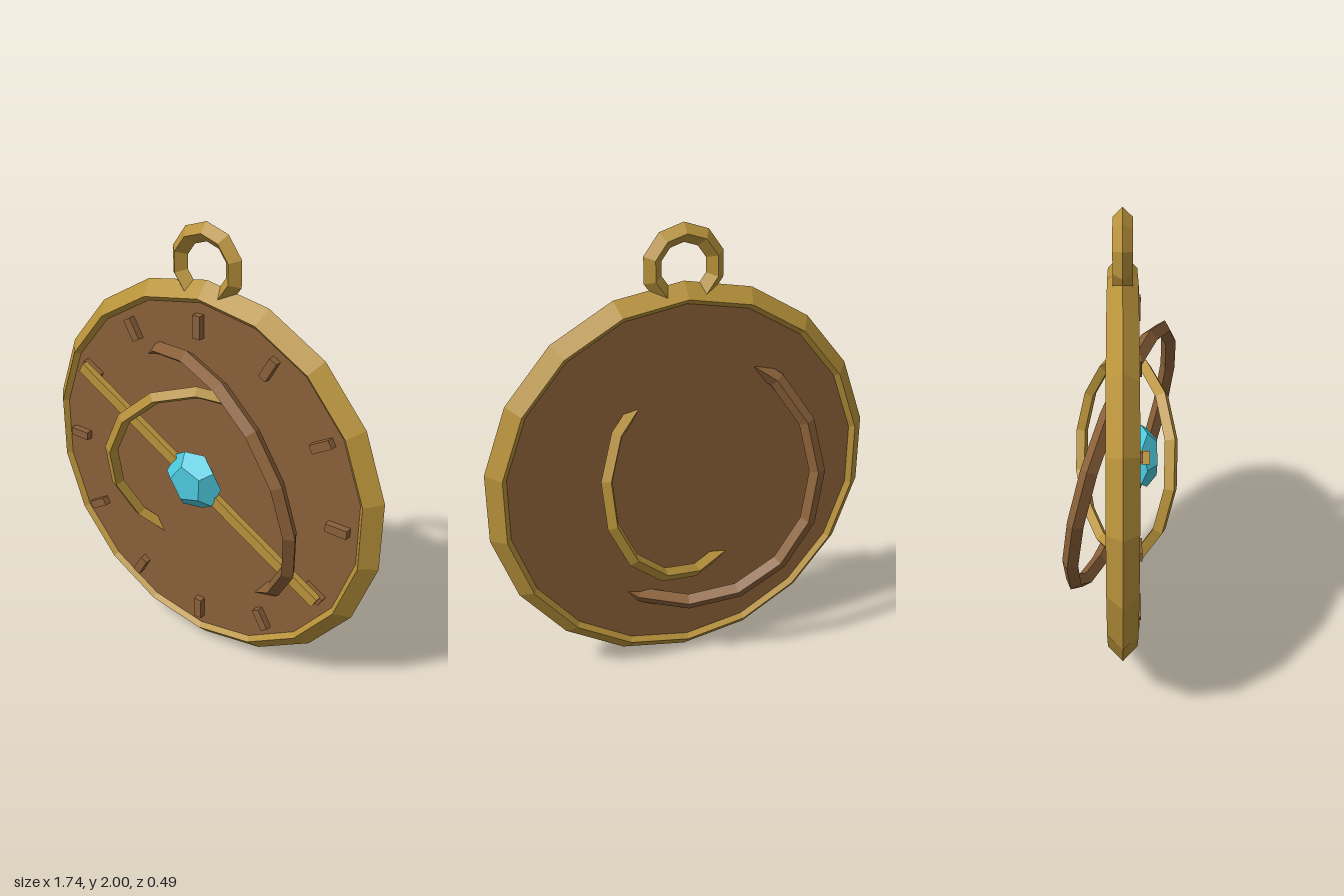
import * as THREE from 'three';

const CY = 0.882; // height of the dial centre

export function createModel() {
  const model = new THREE.Group();
  const material = (name, color) => {
    const m = new THREE.MeshStandardMaterial({ color, flatShading: true });
    m.name = name;
    return m;
  };
  const gold = material('antique gold', 0xb8923a);
  const bronze = material('brown bronze', 0x8a6038);
  const aqua = material('aqua crystal', 0x4cc9dd);

  const add = (name, geometry, mat, x = 0, y = CY, z = 0, parent = model) => {
    const mesh = new THREE.Mesh(geometry, mat);
    mesh.name = name;
    mesh.position.set(x, y, z);
    parent.add(mesh);
    return mesh;
  };
  // Diamond-section ring with a vertex at the top
  const ring = (radius, tube, sides) =>
    new THREE.TorusGeometry(radius, tube, 4, sides).rotateZ(Math.PI / 2);

  // Case: bevelled rim, flat dial and hanging loop
  add('rim', ring(0.818, 0.063, 18), gold);
  add('dial', new THREE.CylinderGeometry(0.812, 0.812, 0.084, 18).rotateX(Math.PI / 2), bronze);
  add('hangingLoop', ring(0.14, 0.04, 10), gold, 0, 1.82);

  // Twelve hour markers
  const markers = new THREE.Group();
  markers.name = 'hourMarkers';
  markers.position.y = CY;
  model.add(markers);
  for (let i = 0; i < 12; i++) {
    const a = (i / 12) * Math.PI * 2;
    const marker = add('hourMarker', new THREE.BoxGeometry(0.1, 0.038, 0.04), bronze,
      0.7 * Math.cos(a), 0.7 * Math.sin(a), 0.053, markers);
    marker.rotation.z = a;
  }

  // Pointer across the dial
  add('pointer', new THREE.BoxGeometry(1.47, 0.05, 0.03), gold, 0, CY, 0.085).rotation.z = -Math.PI / 6;

  // Tilted rings passing through the dial; each lies in the plane z = a*x + b*y
  const tiltedRing = (name, radius, tube, sides, mat, a, b) => {
    const mesh = add(name, ring(radius, tube, sides), mat);
    mesh.quaternion.setFromUnitVectors(
      new THREE.Vector3(0, 0, 1), new THREE.Vector3(-a, -b, 1).normalize());
  };
  tiltedRing('outerOrbitRing', 0.588, 0.035, 16, bronze, 0.34, 0.2);
  tiltedRing('innerOrbitRing', 0.437, 0.03, 14, gold, -0.45, 0.24);

  // Flattened faceted gem with a pentagonal face to the front
  const gem = new THREE.DodecahedronGeometry(0.141)
    .rotateY(-Math.atan(0.618))
    .rotateZ(0.58)
    .scale(1, 1, 0.5);
  add('gem', gem, aqua, 0, CY + 0.002, 0.094);

  return model;
}
